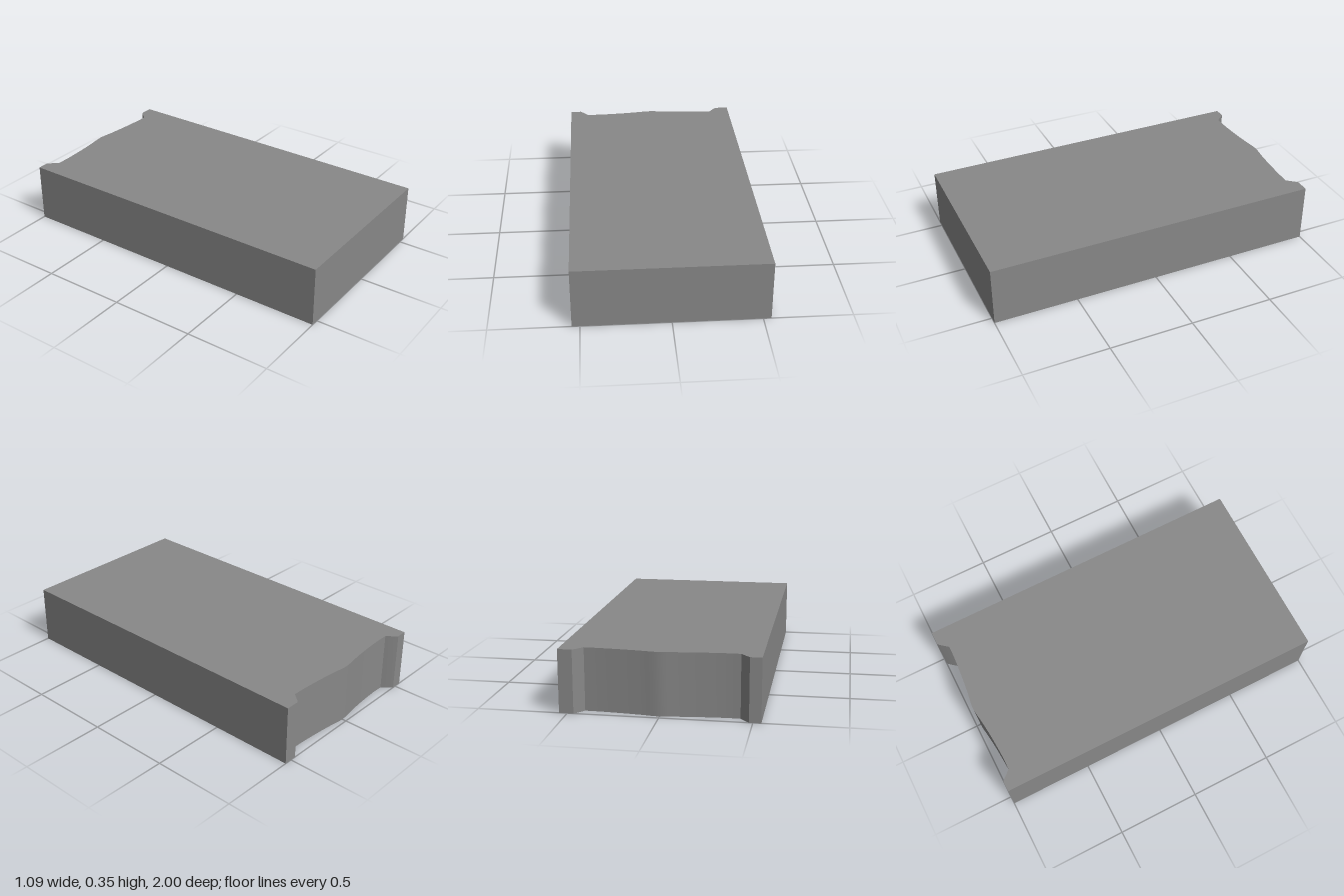
import * as THREE from 'three';
import { toCreasedNormals } from 'three/addons/utils/BufferGeometryUtils.js';

const HALF_W = 0.545, HEIGHT = 0.355, ROOF = 0.34, INNER = 0.523;
const material = new THREE.MeshStandardMaterial({ color: 0x888888 });

// Plan shapes use (x, s) with s = -z, so s = +1 is the back edge.
const v2 = (x, s) => new THREE.Vector2(x, s);
const rect = (x0, x1, s0, s1) => [v2(x0, s0), v2(x1, s0), v2(x1, s1), v2(x0, s1)];

// Wavy line shared by the back end and the inside of the front wall
function wave(halfWidth, shift) {
  const curve = new THREE.SplineCurve([
    [-0.43, 0.943], [-0.34, 0.943], [-0.2, 0.952], [-0.1, 0.963], [0, 0.975],
    [0.1, 0.963], [0.2, 0.953], [0.33, 0.944], [0.415, 0.942],
  ].map(([x, s]) => v2(x, s + shift)));
  return [
    v2(-halfWidth, 1 + shift), v2(-0.48, 1 + shift), v2(-0.465, 0.985 + shift),
    ...curve.getPoints(40),
    v2(0.45, 0.985 + shift), v2(0.465, 1 + shift), v2(halfWidth, 1 + shift),
  ];
}

// Plate of a plan outline between two heights, with holes
function slab(name, outline, holes, y0, y1) {
  const shape = new THREE.Shape(outline);
  shape.holes = holes.map((h) => new THREE.Path(h));
  const geo = new THREE.ExtrudeGeometry(shape, { depth: y1 - y0, bevelEnabled: false });
  geo.rotateX(-Math.PI / 2).translate(0, y0, 0);
  const mesh = new THREE.Mesh(toCreasedNormals(geo, 0.45), material);
  mesh.name = name;
  return mesh;
}

export function createModel() {
  const group = new THREE.Group();
  group.name = 'hollowBlock';
  const outline = [v2(HALF_W, -1), ...wave(HALF_W, 0).reverse(), v2(-HALF_W, -1)];

  // Cavities between the cross ribs, from front to back
  const frontCavity = [...wave(INNER, -1.903), v2(INNER, -0.733), v2(-INNER, -0.733)];
  const cavities = [[-0.708, -0.435], [-0.41, -0.137], [-0.112, 0.88]]
    .map(([s0, s1]) => rect(-INNER, INNER, s0, s1));

  group.add(slab('wallsAndRibs', outline, [frontCavity, ...cavities], 0, ROOF));
  group.add(slab('roof', outline, [], ROOF, HEIGHT));

  // Rear block, and its base panel with two shallow square recesses
  const recesses = [-1, 1].map((side) => rect(side * 0.27 - 0.16, side * 0.27 + 0.16, 0.49, 0.8));
  group.add(slab('rearBlock', rect(-INNER, INNER, 0.405, 0.88), [], 0.034, ROOF));
  group.add(slab('basePanel', rect(-INNER, INNER, 0.44, 0.88), recesses, 0.02, 0.034));
  return group;
}
